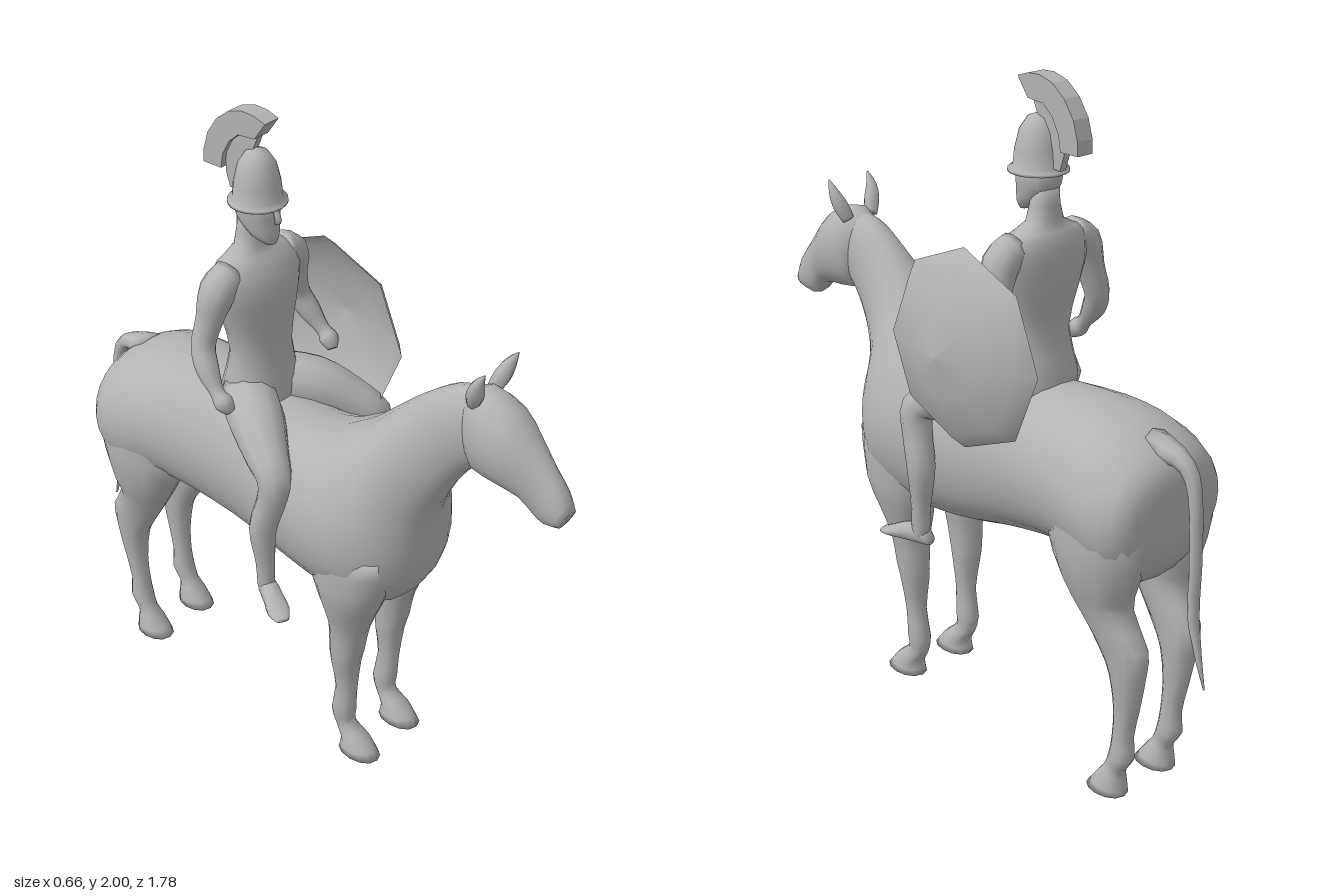
import * as THREE from 'three';

const bronzeGrey = new THREE.MeshStandardMaterial({ color: 0xb3b3b3 });
bronzeGrey.name = 'plain grey';
const openGrey = new THREE.MeshStandardMaterial({ color: 0xb3b3b3, side: THREE.DoubleSide });
openGrey.name = 'plain grey';

function named(name, geometry, material = bronzeGrey) {
  const mesh = new THREE.Mesh(geometry, material);
  mesh.name = name;
  return mesh;
}

// Closed skin over a list of rings, wound so that it faces outwards
function loft(rings) {
  const n = rings[0].length, pts = rings.flat(), idx = [];
  const centre = r => r.reduce((s, p) => s.add(p), new THREE.Vector3()).divideScalar(n);
  for (let i = 0; i < rings.length - 1; i++) {
    for (let j = 0; j < n; j++) {
      const a = i * n + j, b = i * n + (j + 1) % n;
      idx.push(a, b, a + n, b, b + n, a + n);
    }
  }
  const last = (rings.length - 1) * n, c0 = pts.length;
  pts.push(centre(rings[0]), centre(rings[rings.length - 1]));
  for (let j = 0; j < n; j++) {
    const k = (j + 1) % n;
    idx.push(c0, k, j, c0 + 1, last + j, last + k);
  }
  let volume = 0;
  const cross = new THREE.Vector3();
  for (let i = 0; i < idx.length; i += 3) {
    volume += pts[idx[i]].dot(cross.crossVectors(pts[idx[i + 1]], pts[idx[i + 2]]));
  }
  if (volume < 0) idx.reverse();
  const g = new THREE.BufferGeometry().setFromPoints(pts);
  g.setIndex(idx);
  g.computeVertexNormals();
  return g;
}

// Smooth in-between rows for a table of section numbers
function refine(rows, steps) {
  const out = [];
  for (let i = 0; i < rows.length - 1; i++) {
    const [p, a, b, q] = [i - 1, i, i + 1, i + 2].map(k => rows[Math.min(Math.max(k, 0), rows.length - 1)]);
    for (let s = 0; s < steps; s++) {
      const t = s / steps;
      out.push(a.map((v, k) => v + 0.5 * t * (b[k] - p[k]
        + t * (2 * p[k] - 5 * v + 4 * b[k] - q[k] + t * (3 * (v - b[k]) + q[k] - p[k])))));
    }
  }
  out.push(rows[rows.length - 1]);
  return out;
}

// Oval sections between two side-profile points: [z1, y1, z2, y2, halfWidth, centreX]
function profileBody(rows, n = 18, steps = 2, power = 0.9) {
  return loft(refine(rows.map(r => [...r, r[5] ?? 0].slice(0, 6)), steps).map(([z1, y1, z2, y2, w, cx]) =>
    Array.from({ length: n }, (_, j) => {
      const a = j / n * Math.PI * 2, c = Math.cos(a), s = Math.sin(a);
      const x = Math.sign(s) * Math.abs(s) ** power;
      return new THREE.Vector3(cx + x * w, (y1 + y2) / 2 + c * (y1 - y2) / 2, (z1 + z2) / 2 + c * (z1 - z2) / 2);
    })));
}

// Round limb through [x, y, z, radius]
function limb(rows, n = 10) {
  const path = refine(rows, 3);
  const at = r => new THREE.Vector3(r[0], r[1], r[2]);
  let u = new THREE.Vector3(1, 0, 0.2);
  return loft(path.map((r, i) => {
    const t = at(path[Math.min(i + 1, path.length - 1)]).sub(at(path[Math.max(i - 1, 0)])).normalize();
    u = u.clone().addScaledVector(t, -u.dot(t)).normalize();
    const v = t.clone().cross(u);
    return Array.from({ length: n }, (_, j) => {
      const a = j / n * Math.PI * 2;
      return at(r).addScaledVector(u, Math.cos(a) * r[3]).addScaledVector(v, Math.sin(a) * r[3]);
    });
  }));
}

function makeHorse() {
  const horse = new THREE.Group();
  horse.name = 'horse';
  // Rump, barrel, chest and neck
  horse.add(named('horseBody', profileBody([
    [-0.765, 0.96, -0.755, 0.84, 0.07], [-0.74, 1.05, -0.74, 0.74, 0.19], [-0.62, 1.12, -0.66, 0.66, 0.235],
    [-0.45, 1.14, -0.45, 0.7, 0.225], [-0.2, 1.125, -0.2, 0.655, 0.195], [0, 1.1, 0, 0.61, 0.205],
    [0.1, 1.115, 0.2, 0.6, 0.235], [0.17, 1.155, 0.36, 0.63, 0.235], [0.24, 1.205, 0.44, 0.76, 0.19],
    [0.31, 1.27, 0.45, 0.95, 0.125], [0.4, 1.35, 0.51, 1.09, 0.085], [0.5, 1.42, 0.58, 1.19, 0.068],
    [0.58, 1.44, 0.63, 1.22, 0.06]], 24, 3)));
  horse.add(named('horseHead', profileBody([
    [0.54, 1.42, 0.58, 1.22, 0.05], [0.6, 1.455, 0.6, 1.19, 0.082], [0.69, 1.425, 0.69, 1.18, 0.086],
    [0.755, 1.365, 0.75, 1.165, 0.066], [0.82, 1.295, 0.785, 1.13, 0.048], [0.87, 1.235, 0.82, 1.115, 0.044],
    [0.893, 1.18, 0.87, 1.125, 0.034]])));
  horse.add(named('tail', profileBody([
    [-0.66, 1.11, -0.72, 1.03, 0.05], [-0.76, 1.085, -0.76, 1.03, 0.032], [-0.825, 1.03, -0.79, 1.0, 0.022],
    [-0.845, 0.92, -0.81, 0.92, 0.02], [-0.85, 0.75, -0.82, 0.75, 0.02], [-0.85, 0.6, -0.825, 0.58, 0.018],
    [-0.888, 0.4, -0.884, 0.4, 0.003]], 8)));
  for (const s of [1, -1]) {
    const side = s > 0 ? 'left' : 'right';
    const leg = rows => profileBody(rows.map(r => [...r.slice(0, 5), r[5] * s]), 12);
    horse.add(named(side + 'Ear', limb([
      [0.045 * s, 1.42, 0.59, 0.02], [0.06 * s, 1.46, 0.605, 0.025], [0.072 * s, 1.5, 0.62, 0.018], [0.075 * s, 1.54, 0.642, 0.002]], 8)));
    horse.add(named(side + 'FrontLeg', leg([
      [0.4, 0.84, 0.12, 0.84, 0.09, 0.13], [0.38, 0.7, 0.13, 0.68, 0.09, 0.13], [0.335, 0.6, 0.155, 0.58, 0.08, 0.115],
      [0.295, 0.5, 0.17, 0.5, 0.06, 0.11], [0.28, 0.41, 0.17, 0.4, 0.05, 0.11], [0.265, 0.35, 0.175, 0.34, 0.045, 0.107],
      [0.255, 0.24, 0.185, 0.24, 0.03, 0.104], [0.25, 0.15, 0.17, 0.14, 0.034, 0.102], [0.25, 0.1, 0.185, 0.08, 0.028, 0.1],
      [0.3, 0.055, 0.21, 0.04, 0.042, 0.1], [0.345, 0, 0.2, 0, 0.05, 0.1]])));
    horse.add(named(side + 'HindLeg', leg([
      [-0.74, 0.94, -0.42, 0.94, 0.1, 0.12], [-0.755, 0.82, -0.43, 0.78, 0.105, 0.125], [-0.72, 0.68, -0.475, 0.68, 0.09, 0.125],
      [-0.7, 0.6, -0.54, 0.57, 0.066, 0.115], [-0.76, 0.5, -0.6, 0.47, 0.05, 0.108], [-0.755, 0.42, -0.64, 0.4, 0.046, 0.105],
      [-0.735, 0.3, -0.655, 0.29, 0.034, 0.102], [-0.715, 0.2, -0.65, 0.19, 0.03, 0.1], [-0.72, 0.13, -0.64, 0.13, 0.035, 0.1],
      [-0.69, 0.08, -0.625, 0.09, 0.03, 0.1], [-0.69, 0.04, -0.6, 0.055, 0.042, 0.1], [-0.695, 0, -0.56, 0, 0.05, 0.1]])));
  }
  return horse;
}

function makeRider() {
  const rider = new THREE.Group();
  rider.name = 'rider';
  rider.add(named('torso', profileBody([
    [-0.11, 1.05, -0.3, 1.05, 0.12], [-0.11, 1.14, -0.31, 1.14, 0.13], [-0.13, 1.27, -0.28, 1.27, 0.105],
    [-0.125, 1.4, -0.3, 1.4, 0.135], [-0.13, 1.49, -0.305, 1.49, 0.16], [-0.16, 1.555, -0.295, 1.555, 0.145],
    [-0.19, 1.595, -0.275, 1.595, 0.06], [-0.195, 1.68, -0.27, 1.69, 0.042]])));
  // Face with a pointed beard
  rider.add(named('head', profileBody([
    [-0.145, 1.615, -0.17, 1.615, 0.018], [-0.14, 1.64, -0.225, 1.64, 0.042], [-0.142, 1.68, -0.265, 1.68, 0.055],
    [-0.14, 1.72, -0.28, 1.72, 0.06], [-0.15, 1.77, -0.275, 1.77, 0.058]], 14)));
  rider.add(named('nose', limb([[0, 1.735, -0.145, 0.007], [0, 1.695, -0.131, 0.011], [0, 1.683, -0.14, 0.006]], 6)));

  // Domed helmet with a flared brim
  const dome = [[0.06, 1.725], [0.086, 1.73], [0.086, 1.738], [0.072, 1.747], [0.068, 1.79], [0.055, 1.845], [0.032, 1.88], [0, 1.892]];
  const helmet = named('helmet', new THREE.LatheGeometry(dome.map(p => new THREE.Vector2(...p)), 20), openGrey);
  helmet.position.z = -0.207;
  rider.add(helmet);

  // Crest plume and its holder: plates in the side plane, outline in (z, y)
  const plate = (name, outline, thick) => {
    const shape = new THREE.Shape(outline.map(([z, y]) => new THREE.Vector2(-z, y)));
    const g = new THREE.ExtrudeGeometry(shape, { depth: thick, bevelEnabled: false });
    g.translate(0, 0, -thick / 2).rotateY(Math.PI / 2);
    rider.add(named(name, g));
  };
  plate('crest', [[-0.15, 1.985], [-0.19, 1.998], [-0.235, 2], [-0.285, 1.985], [-0.33, 1.95], [-0.365, 1.9], [-0.382, 1.845],
    [-0.384, 1.805], [-0.318, 1.805], [-0.31, 1.85], [-0.285, 1.895], [-0.25, 1.925], [-0.19, 1.93]], 0.056);
  plate('crestHolder', [[-0.19, 1.935], [-0.25, 1.93], [-0.29, 1.895], [-0.313, 1.85], [-0.315, 1.79], [-0.3, 1.745],
    [-0.27, 1.75], [-0.265, 1.81], [-0.245, 1.86], [-0.21, 1.89]], 0.022);

  for (const s of [1, -1]) {
    const side = s > 0 ? 'left' : 'right';
    const out = s > 0 ? 0 : 0.03;
    rider.add(named(side + 'Arm', limb([
      [0.1 * s, 1.535, -0.225, 0.05], [0.155 * s, 1.5, -0.225, 0.055], [0.18 * s, 1.42, -0.235, 0.042],
      [0.205 * s, 1.34, -0.24, 0.037], [0.222 * s, 1.28, -0.21, 0.035], [0.232 * s, 1.225, -0.165, 0.022],
      [0.232 * s, 1.2, -0.14, 0.03], [0.225 * s, 1.175, -0.12, 0.015]])));
    rider.add(named(side + 'Leg', limb([
      [0.06 * s, 1.12, -0.21, 0.085], [0.13 * s, 1.105, -0.11, 0.085], [0.19 * s, 1.06, -0.02, 0.068],
      [0.228 * s, 1.015, 0.045, 0.052], [0.238 * s, 0.94, 0.04, 0.044], [0.247 * s, 0.84, 0.015, 0.042],
      [0.245 * s, 0.72, 0.02, 0.03], [0.245 * s, 0.64, 0.022, 0.027], [0.245 * s, 0.615, 0.022, 0.022]])));
    // Foot pointing forward and outward, flattened on the sole
    const foot = named(side + 'Foot', profileBody([
      [-0.03, 0.62, -0.03, 0.592, 0.018], [0, 0.655, 0, 0.59, 0.028], [0.06, 0.645, 0.06, 0.59, 0.031],
      [0.11, 0.62, 0.11, 0.59, 0.035], [0.145, 0.605, 0.145, 0.592, 0.02]], 10));
    foot.position.set(0.24 * s, 0, 0.02);
    foot.rotation.y = s * (0.25 + out * 9);
    rider.add(foot);
  }
  return rider;
}

export function createModel() {
  const model = new THREE.Group();
  model.name = 'mountedWarrior';
  model.add(makeHorse(), makeRider());

  // Eight-sided dished shield on the left arm
  const dish = [[0.296, 0], [0.25, 0.05], [0.13, 0.09], [0, 0.11]].map(p => new THREE.Vector2(...p));
  const shield = named('shield', new THREE.LatheGeometry(dish, 8), openGrey);
  shield.rotation.z = -Math.PI / 2;
  shield.position.set(0.226, 1.25, -0.155);
  model.add(shield);
  return model;
}
